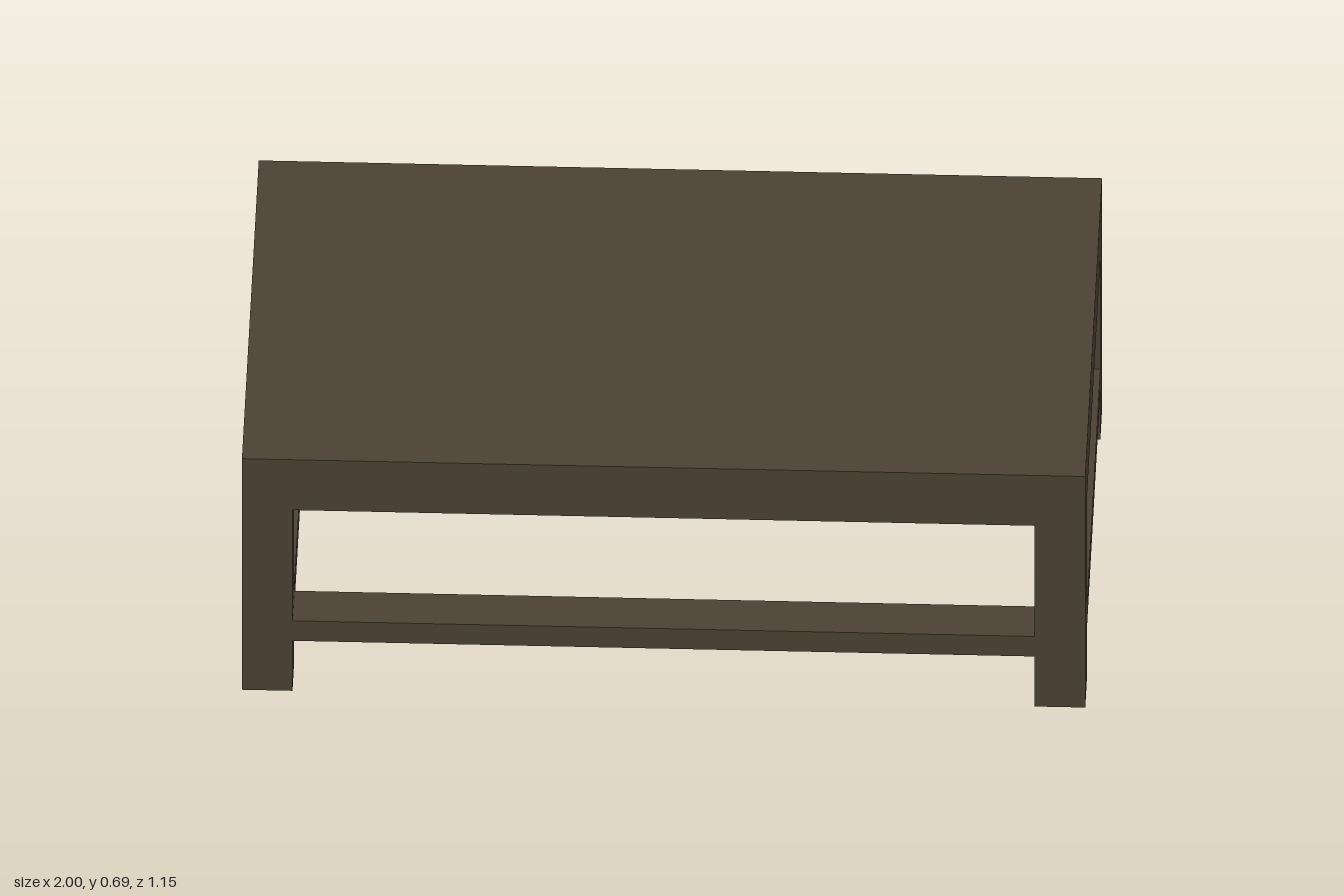
import * as THREE from 'three';

export function createModel() {
  const model = new THREE.Group();
  model.name = 'coffeeTable';

  const darkWood = new THREE.MeshStandardMaterial({ color: 0x4b4033 });
  darkWood.name = 'darkWood';

  const W = 2, D = 1.154, H = 0.693;      // overall size
  const legW = 0.12, legD = 0.116;        // leg section
  const topBottom = 0.542;                // underside of the thick top
  const railLow = 0.15, railHigh = 0.21;  // stretcher heights

  function box(name, w, y0, y1, d, x, z) {
    const mesh = new THREE.Mesh(new THREE.BoxGeometry(w, y1 - y0, d), darkWood);
    mesh.name = name;
    mesh.position.set(x, (y0 + y1) / 2, z);
    model.add(mesh);
  }

  // Thick solid top
  box('tableTop', W, topBottom, H, D, 0, 0);

  // Corner legs, flush with the top
  const legX = (W - legW) / 2, legZ = (D - legD) / 2;
  for (const [side, sx] of [['Left', 1], ['Right', -1]]) {
    for (const [end, sz] of [['front', 1], ['back', -1]]) {
      box(`${end}${side}Leg`, legW, 0, topBottom, legD, sx * legX, sz * legZ);
    }
  }

  // Stretchers between the legs, as wide as the legs
  for (const [end, sz] of [['front', 1], ['back', -1]]) {
    box(`${end}Stretcher`, W - 2 * legW, railLow, railHigh, legD, 0, sz * legZ);
  }
  for (const [side, sx] of [['left', 1], ['right', -1]]) {
    box(`${side}Stretcher`, legW, railLow, railHigh, D - 2 * legD, sx * legX, 0);
  }

  return model;
}
